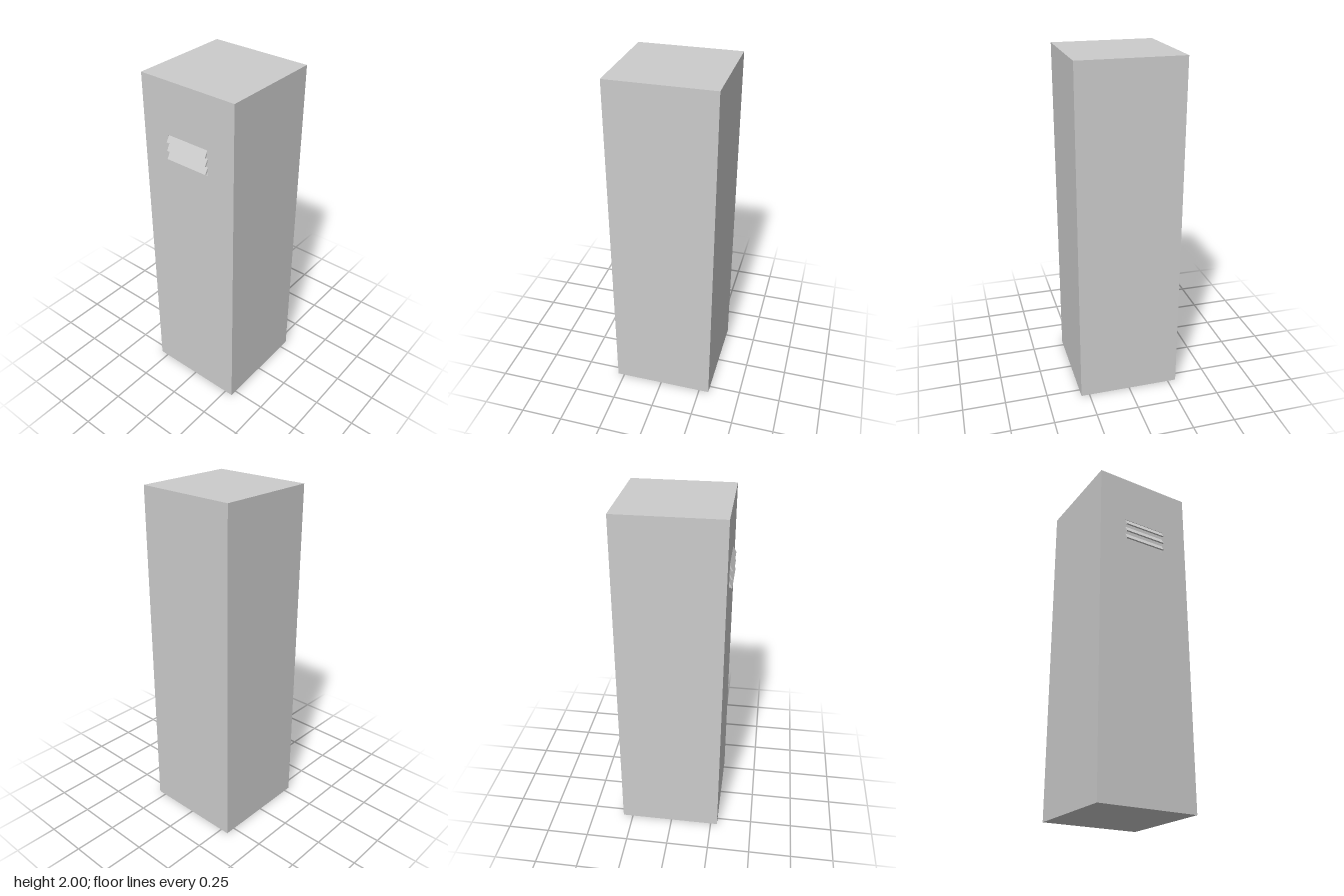
import * as THREE from 'three';

const material = new THREE.MeshStandardMaterial({ color: 0xcccccc, flatShading: true });

const WIDTH = 0.6, HEIGHT = 2, BACK = -0.31, FRONT = 0.29, PANEL = 0.02;
const VENT = { halfWidth: 0.13, bottom: 1.553, top: 1.7, slats: 3 };

function addMesh(parent, name, geometry, x, y, z) {
  const mesh = new THREE.Mesh(geometry, material);
  mesh.name = name;
  mesh.position.set(x, y, z);
  parent.add(mesh);
  return mesh;
}

// Rectangle outline given by its corners
function rectangle(path, x0, y0, x1, y1) {
  path.moveTo(x0, y0);
  path.lineTo(x1, y0);
  path.lineTo(x1, y1);
  path.lineTo(x0, y1);
  path.closePath();
  return path;
}

export function createModel() {
  const model = new THREE.Group();
  model.name = 'locker';

  // Tall cabinet behind the front panel
  const depth = FRONT - PANEL - BACK;
  addMesh(model, 'cabinetBody', new THREE.BoxGeometry(WIDTH, HEIGHT, depth),
    0, HEIGHT / 2, BACK + depth / 2);

  // Front panel with the vent opening cut through it
  const outline = rectangle(new THREE.Shape(), -WIDTH / 2, 0, WIDTH / 2, HEIGHT);
  outline.holes.push(rectangle(new THREE.Path(),
    -VENT.halfWidth, VENT.bottom, VENT.halfWidth, VENT.top));
  addMesh(model, 'frontPanel',
    new THREE.ExtrudeGeometry(outline, { depth: PANEL, bevelEnabled: false }),
    0, 0, FRONT - PANEL);

  // Louvre slats, their lower edges leaning outward
  const vent = new THREE.Group();
  vent.name = 'vent';
  model.add(vent);
  const slat = new THREE.BoxGeometry(VENT.halfWidth * 2, 0.042, 0.008);
  const pitch = (VENT.top - VENT.bottom) / VENT.slats;
  for (let i = 0; i < VENT.slats; i++) {
    const mesh = addMesh(vent, `ventSlat${i + 1}`, slat, 0, VENT.top - 0.02 - i * pitch, 0.294);
    mesh.rotation.x = -Math.PI / 6;
  }

  return model;
}
